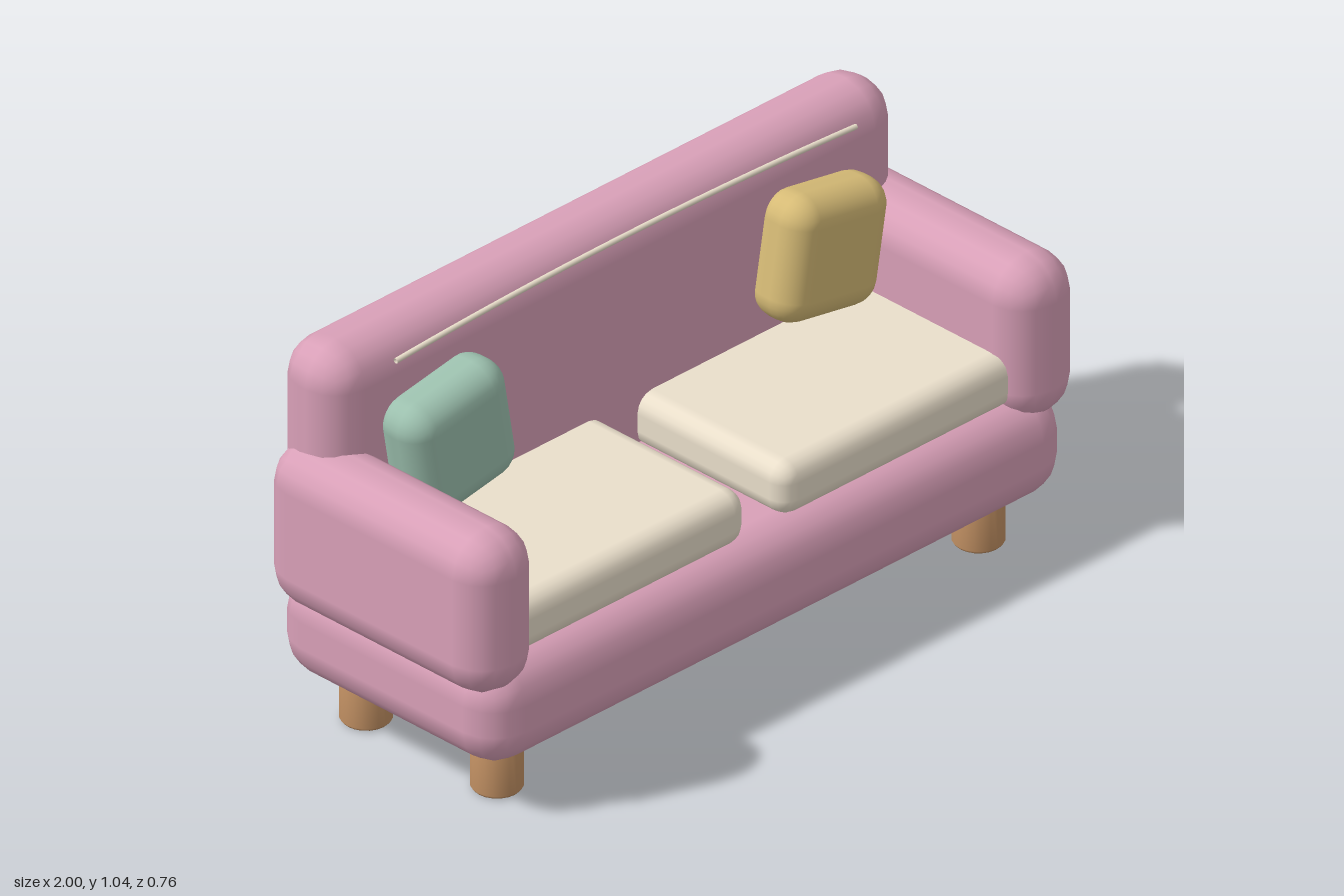
import * as THREE from 'three';
import { RoundedBoxGeometry } from 'three/addons/geometries/RoundedBoxGeometry.js';

const material = (color) => new THREE.MeshStandardMaterial({ color });

export function createModel() {
  const sofa = new THREE.Group();
  sofa.name = 'sofa';
  const pink = material(0xd9a0b8);
  const cream = material(0xeadfcb);
  const wood = material(0xc08f62);

  const add = (name, geometry, mat, x = 0, y = 0, z = 0) => {
    const mesh = new THREE.Mesh(geometry, mat);
    mesh.name = name;
    mesh.position.set(x, y, z);
    sofa.add(mesh);
    return mesh;
  };
  // Soft padded block given by its extents on each axis
  const pad = (name, mat, [x0, x1], [y0, y1], [z0, z1], radius, segments = 2) =>
    add(name, new RoundedBoxGeometry(x1 - x0, y1 - y0, z1 - z0, segments, radius), mat,
      (x0 + x1) / 2, (y0 + y1) / 2, (z0 + z1) / 2);

  // Upholstered body
  pad('base', pink, [-0.96, 0.96], [0.133, 0.412], [-0.368, 0.382], 0.105);
  pad('backrest', pink, [-0.942, 0.942], [0.315, 1.036], [-0.382, -0.165], 0.1);

  // Leg outline with small bevelled foot
  const legProfile = [[0, 0], [0.058, 0], [0.064, 0.008], [0.064, 0.2], [0, 0.2]]
    .map(([r, y]) => new THREE.Vector2(r, y));
  const legGeometry = new THREE.LatheGeometry(legProfile, 20);

  for (const side of [-1, 1]) {
    const label = side > 0 ? 'left' : 'right';
    const span = (a, b) => (side > 0 ? [a, b] : [-b, -a]);
    pad(label + 'Arm', pink, span(0.785, 1), [0.34, 0.772], [-0.368, 0.382], 0.1);
    pad(label + 'SeatCushion', cream, span(0.056, 0.86), [0.395, 0.54], [-0.24, 0.324], 0.05);

    // Tilted throw pillow
    const pillow = pad(label + 'Pillow', material(side > 0 ? 0xd6bb76 : 0x9cc0ae),
      span(0.449, 0.779), [0.57, 0.9], [-0.2, -0.038], 0.07, 3);
    pillow.rotation.z = -side * 0.17;

    add(label + 'FrontLeg', legGeometry, wood, side * 0.795, 0, 0.226);
    add(label + 'BackLeg', legGeometry, wood, side * 0.795, 0, -0.21);
  }

  // Thin bowed trim along the top of the backrest
  const trimCurve = new THREE.QuadraticBezierCurve3(
    new THREE.Vector3(-0.76, 0.988, -0.147),
    new THREE.Vector3(0, 1.034, -0.147),
    new THREE.Vector3(0.76, 0.988, -0.147));
  const trimMaterial = material(0xeadfcb);
  trimMaterial.side = THREE.DoubleSide;
  add('backTrim', new THREE.TubeGeometry(trimCurve, 24, 0.007, 8), trimMaterial);

  return sofa;
}
